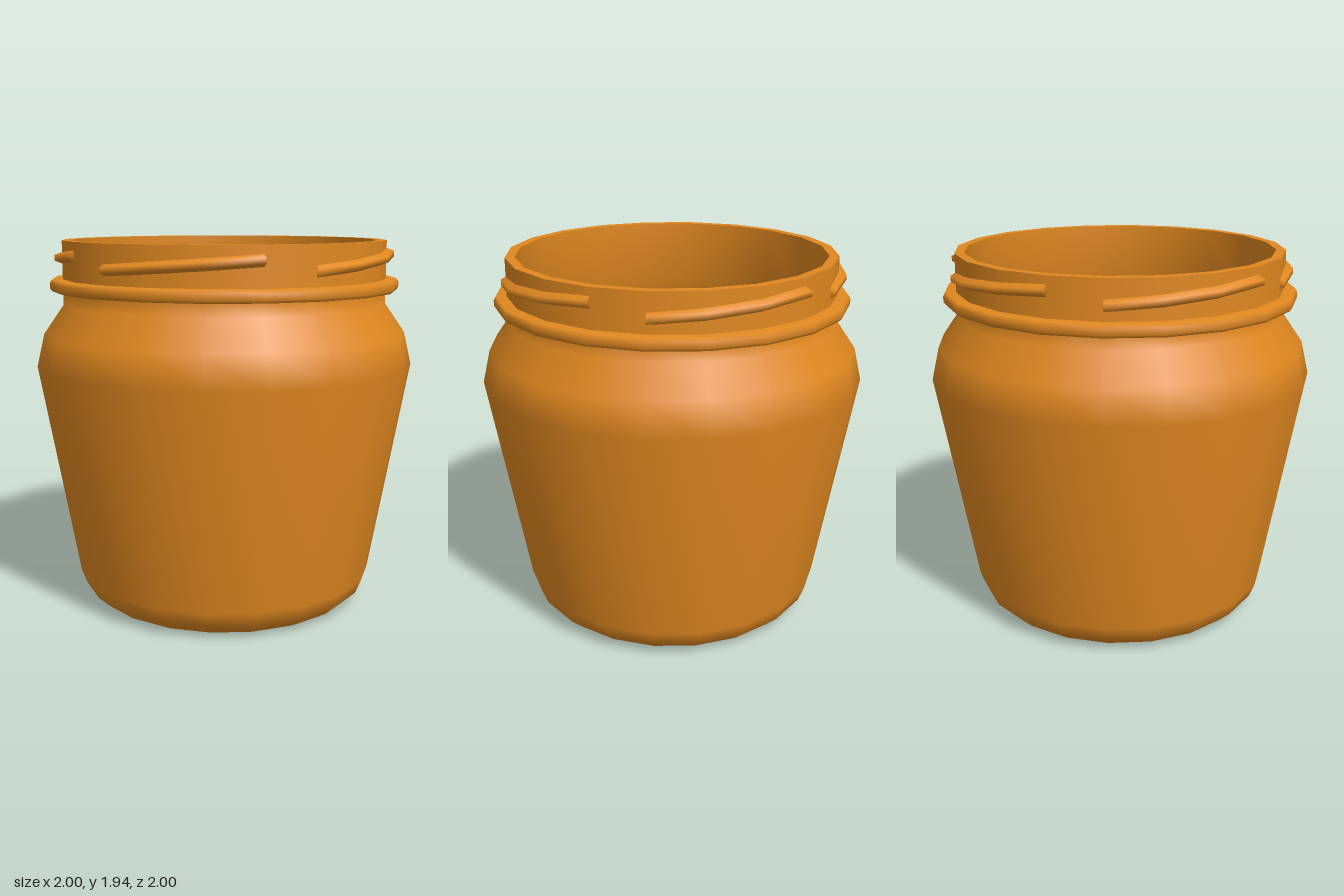
import * as THREE from 'three';

const SIDES = 20;
const glass = new THREE.MeshStandardMaterial({ color: 0xe08820 });

function lathe(name, profile) {
  const points = profile.map(([r, y]) => new THREE.Vector2(r, y));
  const mesh = new THREE.Mesh(new THREE.LatheGeometry(points, SIDES), glass);
  mesh.name = name;
  return mesh;
}

// One short rising ridge: a trapezoid section swept over three sides of the neck
function threadGeometry() {
  const steps = 3, pos = [], index = [];
  for (let i = 0; i <= steps; i++) {
    const a = (i * 2 * Math.PI) / SIDES;
    const y = 1.815 + 0.055 * (i / steps);
    const out = i === 0 ? 0.88 : 0.895;
    const section = [[0.845, y - 0.033], [out, y - 0.014], [out, y + 0.014], [0.845, y + 0.033]];
    for (const [r, h] of section) pos.push(r * Math.sin(a), h, r * Math.cos(a));
  }
  for (let i = 0; i < steps; i++) {
    for (let j = 0; j < 3; j++) {
      const a = i * 4 + j, b = a + 4;
      index.push(a, b, b + 1, a, b + 1, a + 1);
    }
  }
  // End caps
  const e = steps * 4;
  index.push(0, 1, 2, 0, 2, 3, e, e + 2, e + 1, e, e + 3, e + 2);
  const geo = new THREE.BufferGeometry();
  geo.setAttribute('position', new THREE.Float32BufferAttribute(pos, 3));
  geo.setIndex(index);
  geo.computeVertexNormals();
  return geo;
}

export function createModel() {
  const jar = new THREE.Group();
  jar.name = 'jar';

  // Outer wall with a slightly recessed base
  jar.add(lathe('body', [
    [0, 0.03], [0.46, 0.03], [0.56, 0.005], [0.67, 0], [0.71, 0.02], [0.77, 0.075], [0.8, 0.15],
    [1, 1.29], [0.96, 1.46], [0.855, 1.61], [0.855, 1.685],
  ]));
  jar.add(lathe('neck', [[0.855, 1.68], [0.855, 1.94]]));
  jar.add(lathe('rim', [[0.855, 1.94], [0.805, 1.94]]));

  // Inner wall and floor
  jar.add(lathe('interior', [
    [0.805, 1.94], [0.805, 1.59], [0.91, 1.43], [0.95, 1.28], [0.75, 0.16], [0.72, 0.11],
    [0.66, 0.06], [0.56, 0.055], [0.46, 0.07], [0, 0.07],
  ]));

  // Bead below the threads
  jar.add(lathe('collarBead', [
    [0.85, 1.68], [0.91, 1.68], [0.922, 1.695], [0.922, 1.725], [0.91, 1.742], [0.85, 1.742],
  ]));

  // Five lid threads around the neck
  const threads = new THREE.Group();
  threads.name = 'lidThreads';
  const geo = threadGeometry();
  for (let i = 0; i < 5; i++) {
    const ridge = new THREE.Mesh(geo, glass);
    ridge.name = 'thread' + (i + 1);
    ridge.rotation.y = THREE.MathUtils.degToRad(-18 + 72 * i);
    threads.add(ridge);
  }
  jar.add(threads);
  return jar;
}
